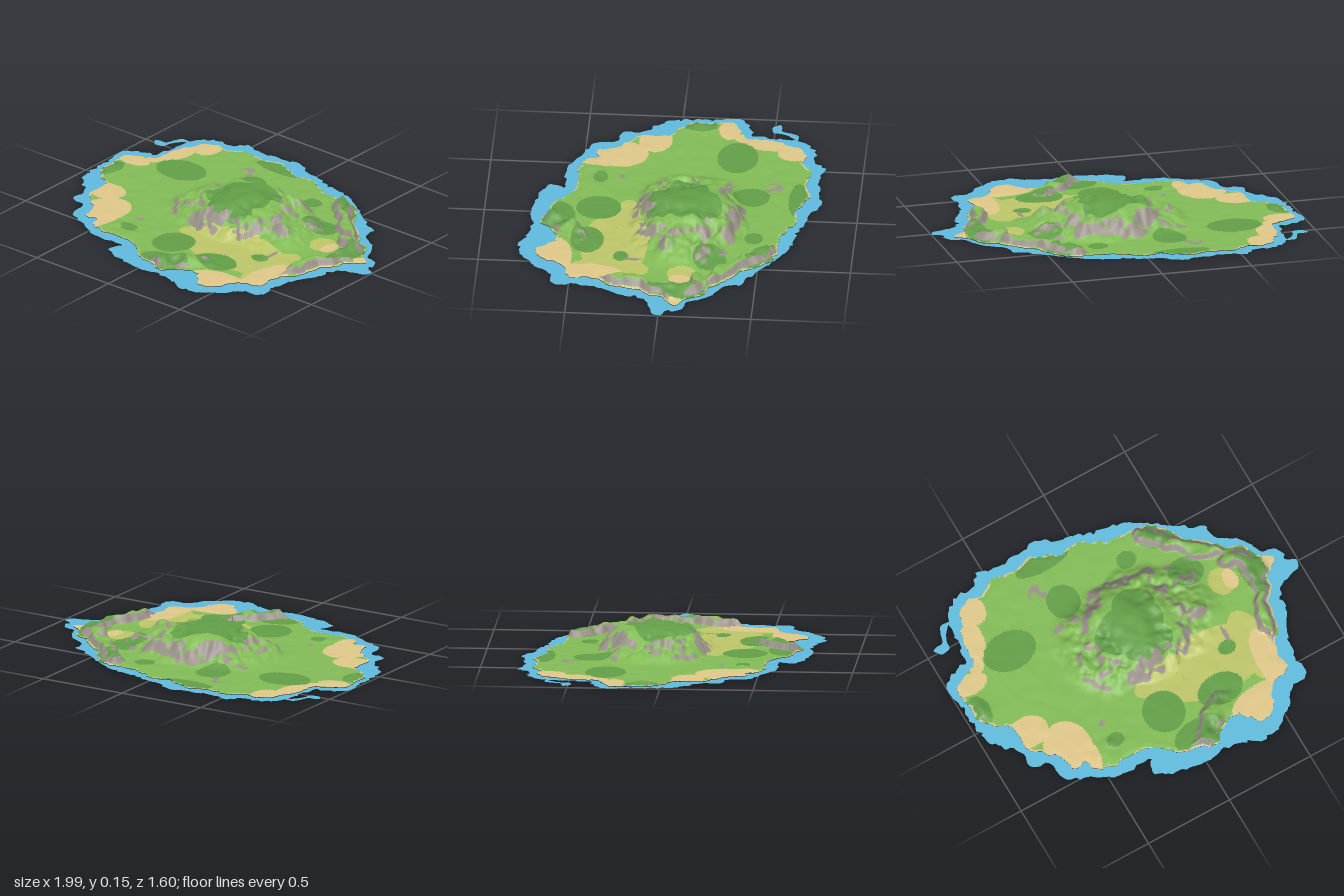
import * as THREE from 'three';

const COLORS = {
  grass: 0x82bb56, forest: 0x629e47, dryGrass: 0xbcc568,
  sand: 0xdec788, rock: 0x9a9189, water: 0x60badd,
};
const NAMES = ['grass', 'forest', 'dryGrass', 'sand', 'rock'];

// Shoreline and outer edge of the shallows as x, z pairs
const LAND = [0.89, -0.08, 0.81, 0, 0.8, 0.06, 0.74, 0.12, 0.73, 0.2, 0.7, 0.3, 0.66, 0.34, 0.64, 0.42, 0.66, 0.5,
  0.57, 0.53, 0.5, 0.58, 0.48, 0.64, 0.38, 0.7, 0.33, 0.64, 0.25, 0.59, 0.17, 0.63, 0.1, 0.69, 0, 0.66, -0.1, 0.63,
  -0.17, 0.56, -0.27, 0.52, -0.45, 0.52, -0.53, 0.49, -0.57, 0.43, -0.63, 0.43, -0.66, 0.35, -0.75, 0.25, -0.8, 0.2,
  -0.8, 0.06, -0.88, 0.02, -0.94, -0.06, -0.95, -0.15, -0.94, -0.29, -0.87, -0.31, -0.8, -0.37, -0.79, -0.5,
  -0.74, -0.6, -0.68, -0.68, -0.58, -0.67, -0.48, -0.72, -0.35, -0.7, -0.25, -0.73, -0.15, -0.69, -0.07, -0.66,
  0, -0.68, 0.1, -0.63, 0.2, -0.6, 0.35, -0.59, 0.45, -0.53, 0.53, -0.42, 0.6, -0.36, 0.68, -0.28, 0.78, -0.22, 0.82, -0.13];
const SHALLOWS = [1, 0, 0.92, 0.05, 0.83, 0.08, 0.8, 0.2, 0.75, 0.32, 0.7, 0.46, 0.72, 0.58, 0.61, 0.62, 0.56, 0.68,
  0.47, 0.75, 0.33, 0.79, 0.2, 0.74, 0.05, 0.74, -0.1, 0.73, -0.2, 0.7, -0.28, 0.65, -0.25, 0.59, -0.42, 0.59,
  -0.6, 0.51, -0.7, 0.47, -0.72, 0.35, -0.83, 0.3, -0.84, 0.22, -0.9, 0.14, -0.95, 0.06, -0.98, -0.08, -0.98, -0.2,
  -1, -0.32, -0.92, -0.37, -0.85, -0.38, -0.82, -0.5, -0.81, -0.62, -0.7, -0.73, -0.6, -0.73, -0.54, -0.79,
  -0.45, -0.77, -0.3, -0.78, -0.17, -0.8, -0.1, -0.75, 0.03, -0.72, 0.15, -0.68, 0.3, -0.64, 0.42, -0.58,
  0.5, -0.51, 0.58, -0.46, 0.65, -0.43, 0.67, -0.35, 0.8, -0.24, 0.86, -0.15, 0.93, -0.1, 0.96, -0.03];
const SPIT = [-0.8, -0.63, -0.86, -0.62, -0.89, -0.54, -0.95, -0.53, -0.93, -0.49, -0.88, -0.49, -0.85, -0.57];

// Rocky ridges: x, z pairs
const RIDGES = [
  [0.32, -0.56, 0.42, -0.46, 0.5, -0.34, 0.62, -0.25, 0.7, -0.17, 0.75, -0.03, 0.69, 0.12, 0.67, 0.28],
  [0.2, 0.47, 0.13, 0.53, 0.06, 0.62],
];

// Ground cover patches as ellipses: centre x, z, radii x, z
const PATCHES = {
  forest: [[-0.6, -0.32, 0.15, 0.11], [-0.21, -0.42, 0.09, 0.1], [-0.2, -0.67, 0.16, 0.05], [0.2, -0.46, 0.055, 0.05],
    [0.44, -0.24, 0.1, 0.09], [-0.055, 0.39, 0.115, 0.12], [0.27, 0.43, 0.13, 0.09], [0.42, 0.24, 0.05, 0.04],
    [-0.36, 0.4, 0.05, 0.04], [-0.91, -0.1, 0.06, 0.09], [0.05, 0.6, 0.15, 0.09], [0.42, -0.53, 0.12, 0.1],
    [0.76, -0.08, 0.07, 0.16], [0, -0.08, 0.2, 0.13], [0.08, -0.18, 0.12, 0.1], [0.05, 0.05, 0.14, 0.08]],
  sand: [[-0.75, 0.13, 0.12, 0.09], [-0.6, 0.31, 0.13, 0.15], [-0.53, 0.4, 0.06, 0.12], [-0.66, -0.62, 0.07, 0.09],
    [-0.74, -0.5, 0.06, 0.14], [-0.88, -0.26, 0.1, 0.06], [-0.8, -0.36, 0.05, 0.07], [0.88, -0.08, 0.06, 0.05],
    [0.45, 0.61, 0.2, 0.11], [0.6, 0.42, 0.09, 0.2], [0.63, -0.09, 0.04, 0.06]],
  dryGrass: [[0.32, 0.28, 0.34, 0.18], [0.02, 0.23, 0.16, 0.07], [0.55, 0.3, 0.1, 0.22], [0.58, -0.1, 0.07, 0.08],
    [0.25, 0.16, 0.08, 0.08]],
  rock: [[-0.31, -0.53, 0.05, 0.05], [-0.38, 0.28, 0.02, 0.02], [0.45, 0.17, 0.012, 0.05], [-0.26, -0.29, 0.09, 0.025]],
};

// Seeded value noise in the range 0 to 1
function hash(i, j) {
  let n = Math.imul(i, 374761393) + Math.imul(j, 668265263);
  n = Math.imul(n ^ (n >>> 13), 1274126177);
  return ((n ^ (n >>> 16)) >>> 0) / 4294967296;
}
function noise(x, z) {
  const i = Math.floor(x), j = Math.floor(z);
  const u = THREE.MathUtils.smoothstep(x - i, 0, 1), v = THREE.MathUtils.smoothstep(z - j, 0, 1);
  const lerp = THREE.MathUtils.lerp;
  return lerp(lerp(hash(i, j), hash(i + 1, j), u), lerp(hash(i, j + 1), hash(i + 1, j + 1), u), v);
}
const bump = (x, z, cx, cz, rx, rz) => Math.exp(-(((x - cx) / rx) ** 2) - (((z - cz) / rz) ** 2));

// Closed ragged outline through a list of x, z pairs
function outline(pairs, count, ragged) {
  const pts = [];
  for (let i = 0; i < pairs.length; i += 2) pts.push(new THREE.Vector3(pairs[i], 0, pairs[i + 1]));
  const curve = new THREE.CatmullRomCurve3(pts, true, 'centripetal');
  curve.arcLengthDivisions = 1500;
  return curve.getSpacedPoints(count).slice(0, count).map((p) => new THREE.Vector2(
    THREE.MathUtils.clamp(p.x + (noise(p.x * 38, p.z * 38) - 0.5) * ragged, -1, 1),
    THREE.MathUtils.clamp(p.z + (noise(p.x * 38 + 50, p.z * 38) - 0.5) * ragged, -0.8, 0.8)));
}

// Ridge strength: steep inland, gentler towards the sea
function ridge(path, x, z) {
  let best = 1, seaward = false;
  for (let i = 0; i + 3 < path.length; i += 2) {
    const [ax, az, bx, bz] = path.slice(i, i + 4);
    const dx = bx - ax, dz = bz - az;
    const t = THREE.MathUtils.clamp(((x - ax) * dx + (z - az) * dz) / (dx * dx + dz * dz), 0, 1);
    const px = ax + dx * t, pz = az + dz * t, d = Math.hypot(x - px, z - pz);
    if (d < best) { best = d; seaward = (x - px) * px + (z - pz) * pz > 0; }
  }
  return 1 - THREE.MathUtils.smoothstep(best, 0.006, seaward ? 0.1 : 0.045);
}

function heightAt(x, z, t) {
  const { smoothstep } = THREE.MathUtils;
  // central mountain with a gullied flank
  const wx = x - 0.02 + (noise(x * 9, z * 9) - 0.5) * 0.08, wz = z + 0.1 + (noise(x * 9 + 20, z * 9) - 0.5) * 0.07;
  const d = Math.hypot(wx / (wx < 0 ? 0.47 : 0.55), Math.pow(Math.abs(wz) / 0.33, 1.6));
  const mount = 1 - smoothstep(d, 0.1, 1);
  const flank = mount * (1 - mount) * 4;
  let h = 0.139 * mount + flank * ((noise(x * 16, z * 16) - 0.5) * 0.04 + (noise(x * 34, z * 34) - 0.5) * 0.026);
  h += mount * (noise(x * 14 + 9, z * 14) - 0.5) * 0.012 + 0.022 * bump(x, z, 0.41, -0.02, 0.07, 0.08);
  // coastal ridges, western knoll and gentle ground
  const rx = x + (noise(x * 17, z * 17 + 30) - 0.5) * 0.07, rz = z + (noise(x * 17 + 40, z * 17) - 0.5) * 0.07;
  for (const path of RIDGES) h = Math.max(h, ridge(path, rx, rz) * (0.028 + 0.024 * noise(x * 22, z * 22)));
  h += 0.018 * bump(x, z, -0.9, -0.1, 0.04, 0.06) + 0.012 * bump(x, z, -0.38, 0.4, 0.12, 0.1) * noise(x * 20, z * 20);
  return 0.003 + Math.max(0, h + 0.004 * noise(x * 18, z * 18)) * (1 - smoothstep(t, 0.95, 1));
}

// Ground cover from position, height and steepness
function coverAt(x, z, h, slope, t) {
  const inside = (kind) => PATCHES[kind].some(([cx, cz, rx, rz]) => ((x - cx) / rx) ** 2 + ((z - cz) / rz) ** 2 < 1);
  const onMount = Math.hypot((x - 0.04) / 0.46, (z + 0.08) / 0.33) < 1;
  const rough = slope + (noise(x * 19 + 7, z * 19) - 0.5) * 1.1;
  if (h > 0.008 && rough > (onMount ? 1.0 : 0.85)) return 'rock';
  if (inside('rock') && noise(x * 30, z * 30) > 0.35) return 'rock';
  if (t > 0.99 && noise(x * 40, z * 40) > 0.4) return 'sand';
  if (inside('forest')) return 'forest';
  if (inside('sand')) return 'sand';
  return inside('dryGrass') && h < 0.06 ? 'dryGrass' : 'grass';
}

// Terrain sheet: rings shrinking from the shoreline to the centre
function buildTerrain(shore) {
  const n = shore.length, rings = 120, pos = [], ts = [];
  for (let j = 0; j <= rings; j++) {
    const t = Math.max(j / rings, 0.001);
    for (const p of shore) {
      pos.push(p.x * t, heightAt(p.x * t, p.y * t, t), p.y * t);
      ts.push(t);
    }
  }
  const faces = Object.fromEntries(NAMES.map((k) => [k, []]));
  const v = [0, 1, 2].map(() => new THREE.Vector3()), tri = new THREE.Triangle(...v);
  const nrm = new THREE.Vector3(), c = new THREE.Vector3();
  const add = (...ids) => {
    ids.forEach((id, k) => v[k].fromArray(pos, id * 3));
    tri.set(...v).getNormal(nrm);
    tri.getMidpoint(c);
    const slope = Math.hypot(nrm.x, nrm.z) / Math.max(Math.abs(nrm.y), 0.01);
    faces[coverAt(c.x, c.z, c.y, slope, ts[ids[1]])].push(...ids);
  };
  for (let j = 0; j < rings; j++) {
    for (let i = 0; i < n; i++) {
      const a = j * n + i, b = j * n + (i + 1) % n;
      add(a, b + n, a + n);
      add(a, b, b + n);
    }
  }
  const geo = new THREE.BufferGeometry();
  geo.setAttribute('position', new THREE.Float32BufferAttribute(pos, 3));
  let index = [];
  NAMES.forEach((k, m) => {
    geo.addGroup(index.length, faces[k].length, m);
    index = index.concat(faces[k]);
  });
  geo.setIndex(index);
  geo.computeVertexNormals();
  return geo;
}

export function createModel() {
  const group = new THREE.Group();
  group.name = 'island';
  const mats = {};
  for (const [name, color] of Object.entries(COLORS)) {
    mats[name] = new THREE.MeshStandardMaterial({ color, side: THREE.DoubleSide });
    mats[name].name = name;
  }
  const addMesh = (name, geo, mat) => {
    const mesh = new THREE.Mesh(geo, mat);
    mesh.name = name;
    group.add(mesh);
  };

  // land
  const shore = outline(LAND, 420, 0.022);
  addMesh('terrain', buildTerrain(shore), NAMES.map((k) => mats[k]));

  // shallow water ring and a detached sliver
  const flat = (pts) => pts.map((p) => new THREE.Vector2(p.x, -p.y));
  const ring = new THREE.Shape(flat(outline(SHALLOWS, 420, 0.03)));
  ring.holes.push(new THREE.Path(flat(shore)));
  addMesh('shallows', new THREE.ShapeGeometry(ring).rotateX(-Math.PI / 2), mats.water);
  const spit = new THREE.Shape(flat(outline(SPIT, 60, 0.01)));
  addMesh('shallowSpit', new THREE.ShapeGeometry(spit).rotateX(-Math.PI / 2), mats.water);
  return group;
}
